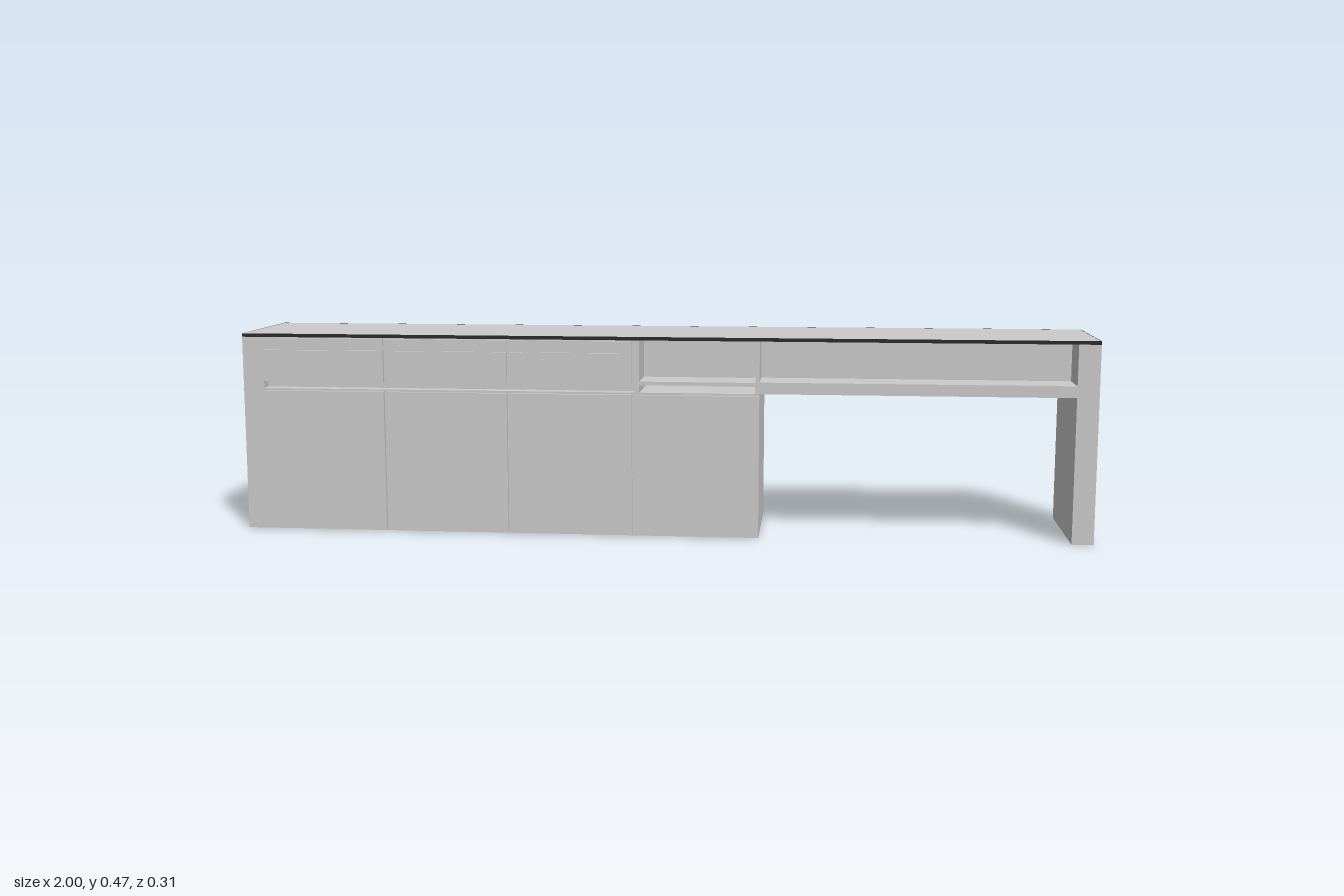
import * as THREE from 'three';

const grey = new THREE.MeshStandardMaterial({ color: 0xcccccc });
const dark = new THREE.MeshStandardMaterial({ color: 0x2a2a2a });

const BACK = -0.155, FRONT = 0.148, FACE = 0.157;
const TOP = 0.462, HEIGHT = 0.47;

// Box given by its limits on each axis
function slab(parent, name, [x0, x1], [y0, y1], [z0, z1], material = grey) {
  const mesh = new THREE.Mesh(new THREE.BoxGeometry(x1 - x0, y1 - y0, z1 - z0), material);
  mesh.position.set((x0 + x1) / 2, (y0 + y1) / 2, (z0 + z1) / 2);
  mesh.name = name;
  parent.add(mesh);
}

function section(parent, name) {
  const group = new THREE.Group();
  group.name = name;
  parent.add(group);
  return group;
}

export function createModel() {
  const model = new THREE.Group();
  model.name = 'counter';
  const depth = [BACK, FRONT];

  // Worktop with a dark edge band
  const worktop = section(model, 'worktop');
  const e = 0.002;
  slab(worktop, 'worktopBoard', [-1 + e, 1 - e], [TOP, HEIGHT], [BACK + e, FRONT - e]);
  for (const x of [-1, 1 - e]) slab(worktop, 'sideEdgeBand', [x, x + e], [TOP, HEIGHT], depth, dark);
  for (const z of [BACK, FRONT - e]) slab(worktop, 'longEdgeBand', [-1 + e, 1 - e], [TOP, HEIGHT], [z, z + e], dark);

  // End panels
  slab(model, 'rightEndPanel', [-1, -0.95], [0, TOP], depth);
  slab(model, 'leftEndPanel', [0.95, 1], [0, TOP], depth);

  // Three closed cabinets, with a finger channel between doors and drawers
  const cabinets = section(model, 'cabinets');
  const run = [-0.95, -0.062];
  slab(cabinets, 'cabinetBody', run, [0, 0.34], depth);
  slab(cabinets, 'channelBack', run, [0.34, 0.358], [BACK, 0.118]);
  slab(cabinets, 'drawerBody', run, [0.358, TOP], depth);
  slab(cabinets, 'drawerGapStrip', [-0.945, -0.067], [0.431, 0.443], [FRONT, 0.15]);
  for (let i = 0; i < 3; i++) {
    const x = [-0.945 + i * 0.295, -0.657 + i * 0.295];
    slab(cabinets, 'door', x, [0.005, 0.335], [FRONT, FACE]);
    slab(cabinets, 'drawerFront', x, [0.358, 0.432], [FRONT, FACE]);
    slab(cabinets, 'topStrip', x, [0.442, 0.46], [FRONT, FACE]);
  }

  // Cabinet with an open niche, and a slot running through below the niche
  const niche = section(model, 'nicheCabinet');
  const inner = [-0.05, 0.22];
  slab(niche, 'nicheCabinetBody', [-0.062, 0.23], [0, 0.34], depth);
  slab(niche, 'door', [-0.06, 0.23], [0.005, 0.335], [FRONT, FACE]);
  slab(niche, 'nicheDividerRight', [-0.062, -0.05], [0.34, TOP], depth);
  slab(niche, 'nicheDividerLeft', [0.22, 0.23], [0.34, TOP], depth);
  slab(niche, 'nicheShelf', inner, [0.357, 0.366], depth);
  slab(niche, 'nicheBack', inner, [0.366, TOP], [0.04, 0.05]);
  slab(niche, 'nicheRearPanel', inner, [0.366, TOP], [BACK, BACK + 0.01]);

  // Open desk: rear apron, shallow front shelf on a rail, and a board beneath
  const desk = section(model, 'desk');
  const span = [0.23, 0.95];
  slab(desk, 'rearApron', span, [0.357, TOP], [BACK, BACK + 0.01]);
  slab(desk, 'deskShelf', span, [0.358, 0.367], [0.04, FRONT]);
  slab(desk, 'deskShelfBack', span, [0.367, TOP], [0.04, 0.05]);
  slab(desk, 'frontRail', span, [0.34, 0.358], [0.11, FRONT]);
  slab(desk, 'underBoard', [0.23, 0.495], [0.349, 0.357], [BACK, 0.035]);

  return model;
}
